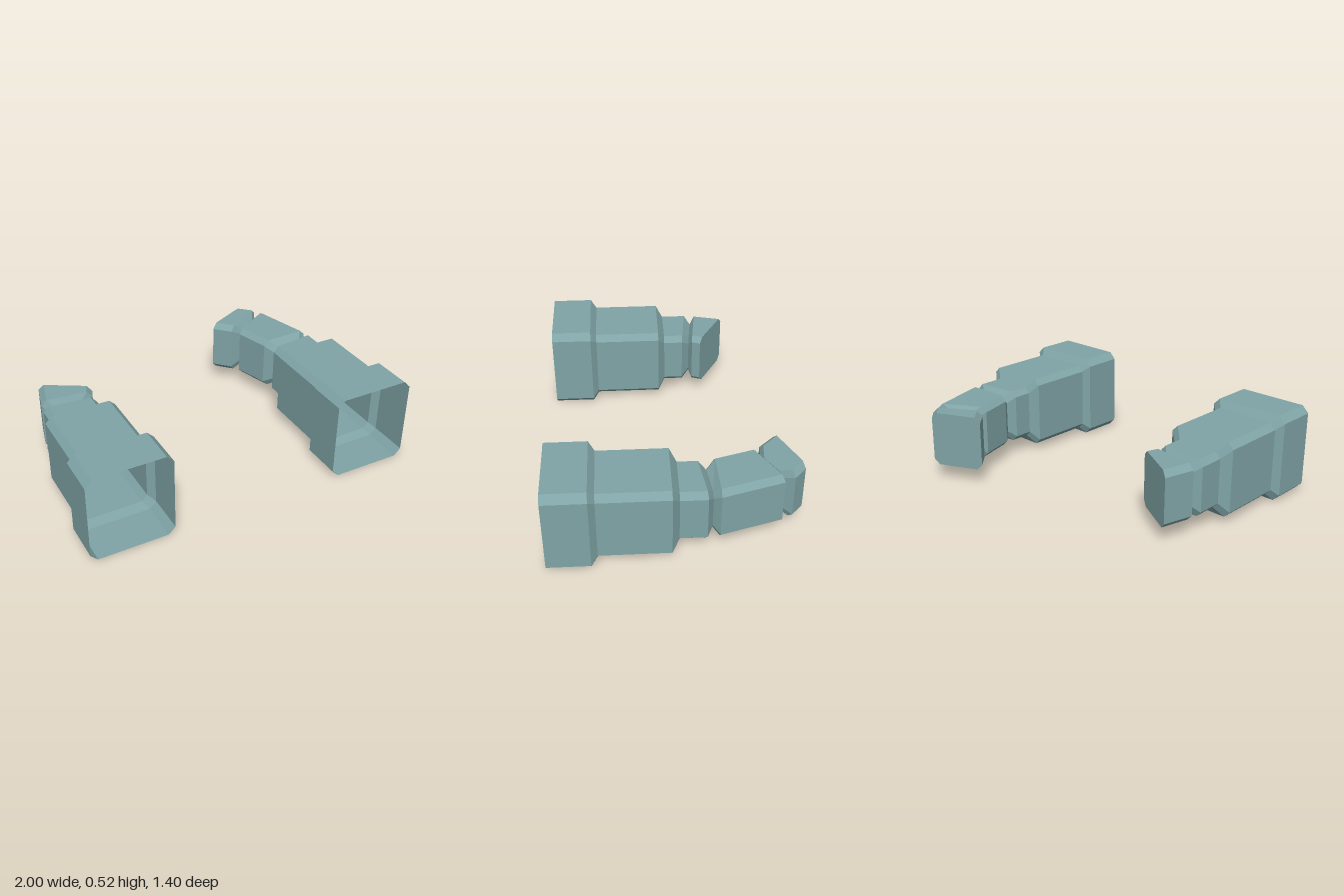
import * as THREE from 'three';

const MID_Y = 0.26;

// Chamfered rectangle standing on the plan line from (lx, lz) to (rx, rz)
function ring([lx, lz, rx, rz, halfHeight, chamfer]) {
  const c = chamfer / Math.hypot(rx - lx, rz - lz);
  const h = halfHeight, k = halfHeight - chamfer;
  return [[c, -h], [1 - c, -h], [1, -k], [1, k], [1 - c, h], [c, h], [0, k], [0, -k]]
    .map(([t, y]) => [lx + (rx - lx) * t, MID_Y + y, lz + (rz - lz) * t]);
}

// Skin between successive rings
function loft(sections) {
  const rings = sections.map(ring);
  const pos = [];
  for (let s = 0; s < rings.length - 1; s++) {
    for (let i = 0; i < 8; i++) {
      const j = (i + 1) % 8;
      const a = rings[s][i], b = rings[s][j], c = rings[s + 1][j], d = rings[s + 1][i];
      pos.push(...a, ...d, ...c, ...a, ...c, ...b);
    }
  }
  return toGeometry(pos);
}

// Flat end facing backwards
function endCap(section) {
  const r = ring(section);
  const pos = [];
  for (let i = 1; i < 7; i++) pos.push(...r[0], ...r[i + 1], ...r[i]);
  return toGeometry(pos);
}

function toGeometry(pos) {
  const g = new THREE.BufferGeometry();
  g.setAttribute('position', new THREE.Float32BufferAttribute(pos, 3));
  g.computeVertexNormals();
  return g;
}

export function createModel() {
  const material = new THREE.MeshStandardMaterial({
    color: 0x80a4a6, flatShading: true, side: THREE.DoubleSide,
  });
  material.name = 'greyTeal';

  const model = new THREE.Group();
  model.name = 'sleevePair';

  // Straight section centred on x
  const straight = (x, z, halfWidth, halfHeight, chamfer) =>
    [x - halfWidth, z, x + halfWidth, z, halfHeight, chamfer];

  function addArm(name, x, wrist, hand) {
    const arm = new THREE.Group();
    arm.name = name;
    const add = (part, geometry) => {
      const mesh = new THREE.Mesh(geometry, material);
      mesh.name = part;
      arm.add(mesh);
    };
    const cuffBack = straight(x, 0.46, 0.245, 0.26, 0.04);
    const sleeveFront = straight(x, 0.425, 0.207, 0.22, 0.035);
    const sleeveBack = straight(x, 0.03, 0.207, 0.22, 0.035);
    const wristFront = straight(x, -0.01, 0.155, 0.165, 0.033);
    add('cuff', loft([straight(x, 0.7, 0.245, 0.26, 0.04), cuffBack, sleeveFront]));
    add('sleeve', loft([sleeveFront, sleeveBack, wristFront]));
    add('wrist', loft([wristFront, ...wrist]));
    add('hand', loft([wrist[wrist.length - 1], ...hand]));
    add('endCap', endCap(hand[hand.length - 1]));
    model.add(arm);
  }

  // Short arm, cut off at a slant
  addArm('rightArm', -0.755,
    [[-0.91, -0.16, -0.6, -0.125, 0.165, 0.033], [-0.865, -0.195, -0.645, -0.17, 0.125, 0.03]],
    [[-0.9, -0.225, -0.6, -0.19, 0.165, 0.033], [-0.855, -0.4, -0.58, -0.24, 0.165, 0.033]]);

  // Long arm, bent inwards with a second pinched joint
  addArm('leftArm', 0.755,
    [[0.6, -0.12, 0.91, -0.16, 0.165, 0.033], [0.635, -0.165, 0.86, -0.19, 0.125, 0.03]],
    [[0.587, -0.215, 0.897, -0.23, 0.165, 0.033], [0.527, -0.42, 0.797, -0.575, 0.165, 0.033],
      [0.565, -0.475, 0.725, -0.572, 0.13, 0.03], [0.495, -0.475, 0.762, -0.635, 0.165, 0.033],
      [0.41, -0.565, 0.692, -0.7, 0.165, 0.033]]);

  return model;
}
